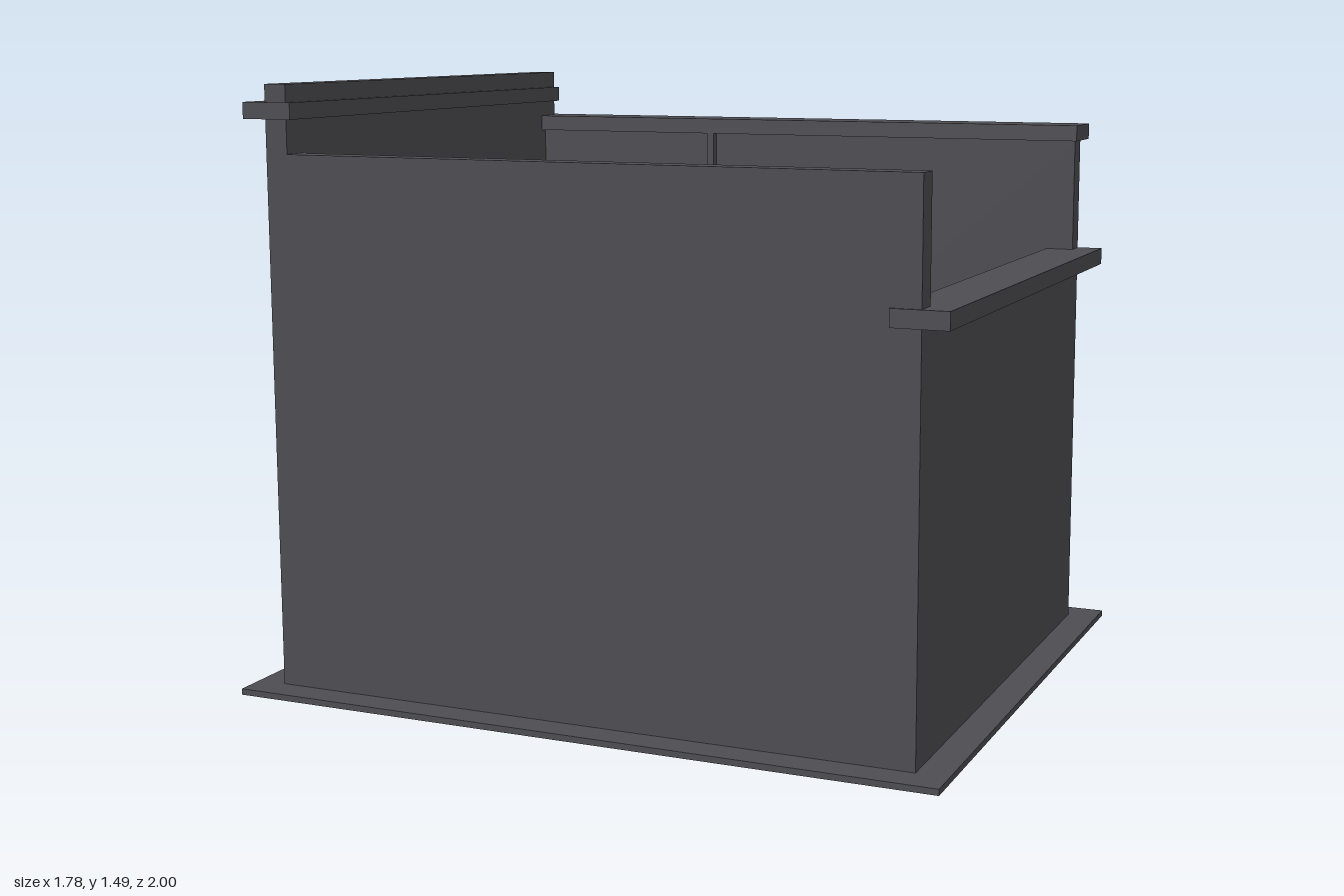
import * as THREE from 'three';

export function createModel() {
  const model = new THREE.Group();
  model.name = 'openRoom';
  const dark = new THREE.MeshStandardMaterial({ color: 0x4e4d52 });
  dark.name = 'darkGrey';
  const brown = new THREE.MeshStandardMaterial({ color: 0x857b70 });
  brown.name = 'warmBrown';

  // Box given by its low and high limits on each axis
  function block(name, [x0, x1], [y0, y1], [z0, z1], material = dark) {
    const mesh = new THREE.Mesh(new THREE.BoxGeometry(x1 - x0, y1 - y0, z1 - z0), material);
    mesh.position.set((x0 + x1) / 2, (y0 + y1) / 2, (z0 + z1) / 2);
    mesh.name = name;
    model.add(mesh);
    return mesh;
  }

  // Floor and four walls of differing height
  block('floor', [-0.893, 0.89], [0, 0.015], [-0.51, 1]);
  block('rightWall', [-0.82, -0.762], [0.015, 1.485], [-0.435, 0.925]);
  block('leftWall', [0.755, 0.813], [0.015, 0.99], [-0.435, 0.925]);
  block('frontWall', [-0.762, 0.813], [0.015, 1.32], [0.865, 0.925]);
  block('backWall', [-0.762, 0.813], [0.015, 1.32], [-0.435, -0.378]);

  // Rails along the wall tops
  block('rightRail', [-0.88, -0.748], [1.402, 1.442], [-0.44, 0.93]);
  block('leftRail', [0.742, 0.877], [0.99, 1.032], [-0.44, 0.93]);
  block('backRail', [-0.826, 0.822], [1.32, 1.361], [-0.492, -0.357]);

  // Open bin behind the back wall, with a shelf showing as a seam at the rear
  const [x0, x1, top, t] = [-0.335, 0.495, 0.565, 0.009];
  for (const x of [x0, x1 - t]) block('binSide', [x, x + t], [0.012, top], [-1, -0.435], brown);
  block('binRearLower', [x0 + t, x1 - t], [0.012, 0.425], [-1, -1 + t], brown);
  block('binRearUpper', [x0 + t, x1 - t], [0.441, top], [-1, -1 + t], brown);
  block('binShelf', [x0 + t, x1 - t], [0.425, 0.441], [-0.996, -0.435]);
  block('binBottom', [x0, x1], [0.006, 0.012], [-1, -0.435]);

  // Fittings on the inside of the back wall
  block('wallStrip', [-0.238, -0.218], [0.015, 1.32], [-0.378, -0.357]);
  block('ledge', [-0.09, 0.25], [0.425, 0.455], [-0.378, -0.34]);
  block('wallBox', [0.51, 0.63], [0.4, 0.55], [-0.378, -0.315]);
  block('handleStem', [0.404, 0.414], [0.44, 0.45], [-0.378, -0.318]);
  block('handleKnob', [0.388, 0.43], [0.435, 0.455], [-0.318, -0.3], brown);

  // Low stool and two small winged pieces on the floor
  block('stool', [-0.72, -0.6], [0.015, 0.2], [-0.115, -0.01]);
  for (const [x, z] of [[0.003, -0.232], [0.182, -0.19]]) {
    const piece = new THREE.Group();
    piece.name = 'floorPiece';
    const body = new THREE.Mesh(new THREE.CylinderGeometry(0.02, 0.02, 0.03, 12), dark);
    body.name = 'pieceBody';
    const wings = new THREE.Mesh(new THREE.BoxGeometry(0.09, 0.015, 0.018), dark);
    wings.name = 'pieceWings';
    piece.add(body, wings);
    piece.position.set(x, 0.03, z);
    model.add(piece);
  }
  return model;
}
